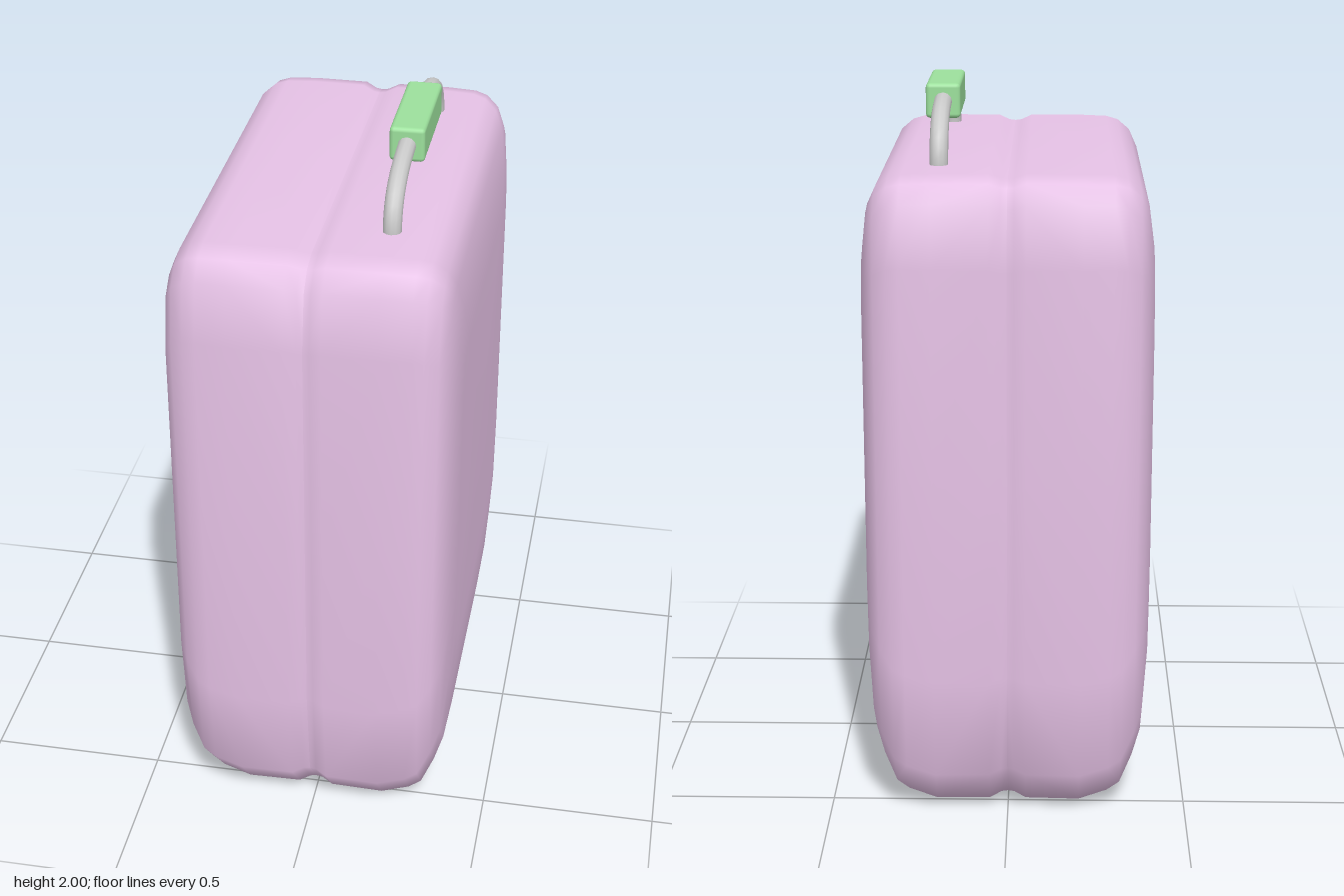
import * as THREE from 'three';
import { RoundedBoxGeometry } from 'three/addons/geometries/RoundedBoxGeometry.js';

// Half outline of the case in units of half depth and half height, bottom to top
const HALF = [
  [0, -1], [0.49, -1], [0.8, -0.972], [0.95, -0.84], [1, -0.52], [1, 0.1],
  [1, 0.75], [0.955, 0.93], [0.885, 0.983], [0.79, 1], [0, 1],
];
const OUTLINE = [...HALF, ...HALF.slice(1, -1).reverse().map(([z, y]) => [-z, y])];

// Cross-sections from the seam outwards: x, half depth, bottom, top
const SECTIONS = [
  [0, 0.658, 0.018, 1.8],
  [0.018, 0.66, 0.016, 1.802],
  [0.05, 0.673, 0.002, 1.815],
  [0.2, 0.675, 0, 1.815],
  [0.28, 0.671, 0.028, 1.812],
  [0.315, 0.662, 0.05, 1.803],
  [0.35, 0.642, 0.13, 1.775],
  [0.373, 0.612, 0.2, 1.725],
  [0.388, 0.55, 0.38, 1.62],
  [0.394, 0.46, 0.5, 1.5],
];

// One half of the case, side = +1 (left) or -1 (right)
function shellGeometry(side) {
  const n = OUTLINE.length, positions = [], index = [];
  for (const [x, depth, bottom, top] of SECTIONS) {
    for (const [u, v] of OUTLINE) {
      positions.push(side * x, (top + bottom) / 2 + v * (top - bottom) / 2, u * depth);
    }
  }
  const centre = positions.length / 3;
  positions.push(side * 0.395, 1, 0);
  const face = (a, b, c) => index.push(...(side > 0 ? [a, b, c] : [a, c, b]));
  for (let j = 0; j < n; j++) {
    const k = (j + 1) % n;
    for (let i = 0; i < SECTIONS.length - 1; i++) {
      const a = i * n, b = a + n;
      face(a + j, b + j, b + k);
      face(a + j, b + k, a + k);
    }
    const last = (SECTIONS.length - 1) * n;
    face(centre, last + k, last + j);
  }
  const geometry = new THREE.BufferGeometry();
  geometry.setAttribute('position', new THREE.Float32BufferAttribute(positions, 3));
  geometry.setIndex(index);
  geometry.computeVertexNormals();
  return geometry;
}

export function createModel() {
  const model = new THREE.Group();
  model.name = 'suitcase';
  const add = (name, geometry, color, parent = model) => {
    const mesh = new THREE.Mesh(geometry, new THREE.MeshStandardMaterial({ color }));
    mesh.name = name;
    parent.add(mesh);
    return mesh;
  };

  // Two soft shells meeting in a shallow seam
  add('leftShell', shellGeometry(1), 0xe6c2e6);
  add('rightShell', shellGeometry(-1), 0xe6c2e6);

  // Carrying handle on the left shell
  const handle = new THREE.Group();
  handle.name = 'handle';
  handle.position.x = 0.187;
  model.add(handle);
  const arm = [[0.39, 1.78], [0.39, 1.835], [0.366, 1.885], [0.3, 1.927], [0.15, 1.952]];
  const points = [...arm, ...arm.map(([z, y]) => [-z, y]).reverse()]
    .map(([z, y]) => new THREE.Vector3(0, y, z));
  const path = new THREE.CatmullRomCurve3(points);
  add('handleBar', new THREE.TubeGeometry(path, 40, 0.025, 12), 0xcccccc, handle);

  // Padded grip around the bar
  const grip = add('grip', new RoundedBoxGeometry(0.096, 0.096, 0.325, 2, 0.012), 0x9ce09c, handle);
  grip.position.y = 1.952;

  return model;
}
